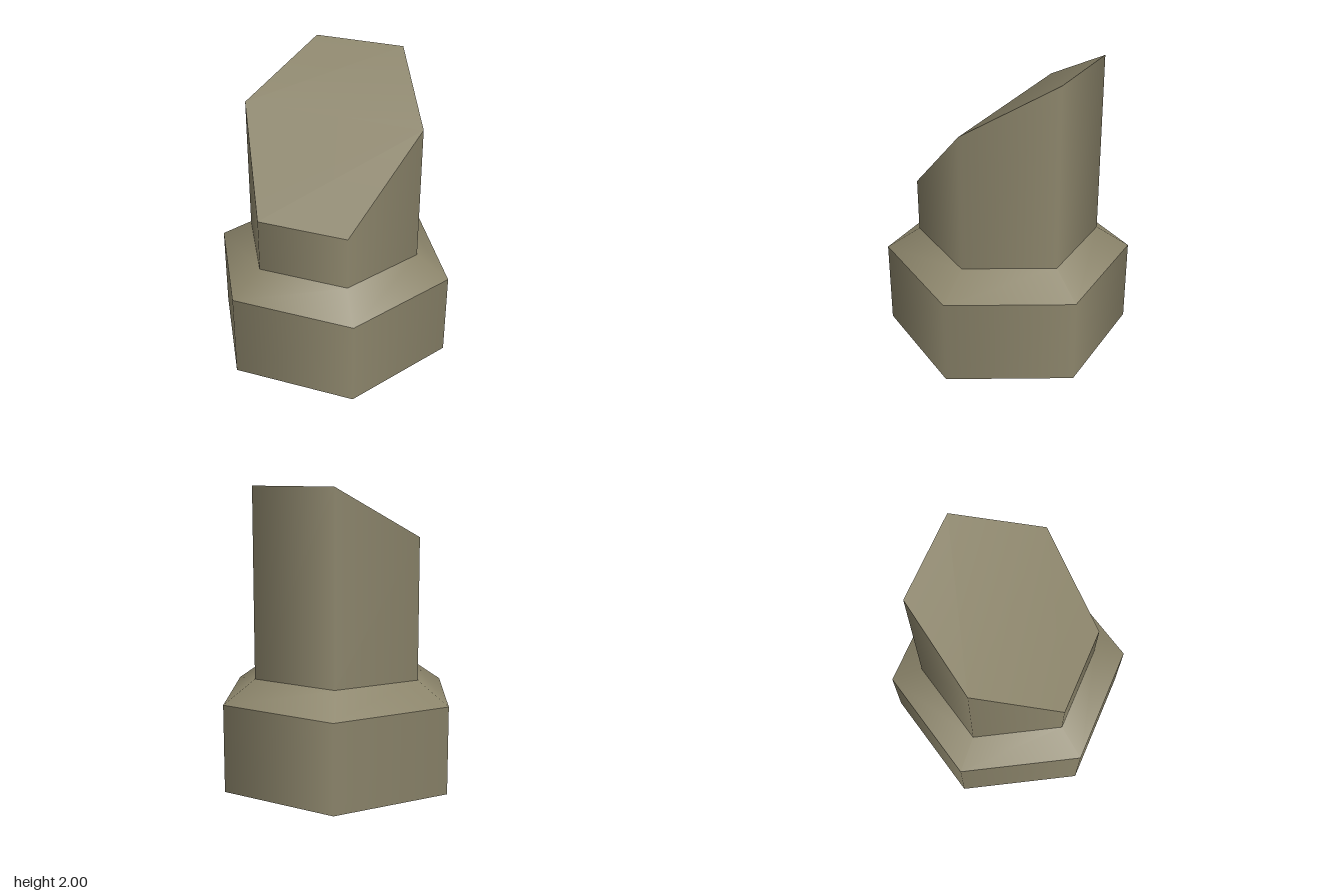
import * as THREE from 'three';

export function createModel() {
  const group = new THREE.Group();
  const stone = new THREE.MeshStandardMaterial({ color: 0x8c856b, side: THREE.DoubleSide });
  stone.name = 'drabStone';

  const baseR = 0.845, neckR = 0.618;
  const shoulderY = 0.59, neckY = 0.74;
  // heights of the slanted rim, from the front corner round through the left
  const rim = [1.107, 1.107, 1.675, 2, 2, 1.675];

  function add(name, geometry) {
    const mesh = new THREE.Mesh(geometry, stone);
    mesh.name = name;
    group.add(mesh);
  }

  // open six-sided band between two heights, smooth around
  function band(rTop, rBottom, y0, y1) {
    return new THREE.CylinderGeometry(rTop, rBottom, y1 - y0, 6, 1, true)
      .translate(0, (y0 + y1) / 2, 0);
  }

  add('base', band(baseR, baseR, 0, shoulderY));
  add('shoulder', band(neckR, baseR, shoulderY, neckY));

  // neck: the top ring follows the slanted rim
  const neck = band(neckR, neckR, neckY, 2);
  const pos = neck.attributes.position;
  for (let i = 0; i <= 6; i++) pos.setY(i, rim[i % 6]);
  add('neck', neck);

  // slanted top: two quads meeting along the middle
  const corners = rim.flatMap((y, i) => {
    const a = (i * Math.PI) / 3;
    return [neckR * Math.sin(a), y, neckR * Math.cos(a)];
  });
  const top = new THREE.BufferGeometry();
  top.setAttribute('position', new THREE.Float32BufferAttribute(corners, 3));
  top.setIndex([0, 1, 2, 0, 2, 5, 5, 2, 3, 5, 3, 4]);
  top.computeVertexNormals();
  add('slantedTop', top);

  return group;
}
